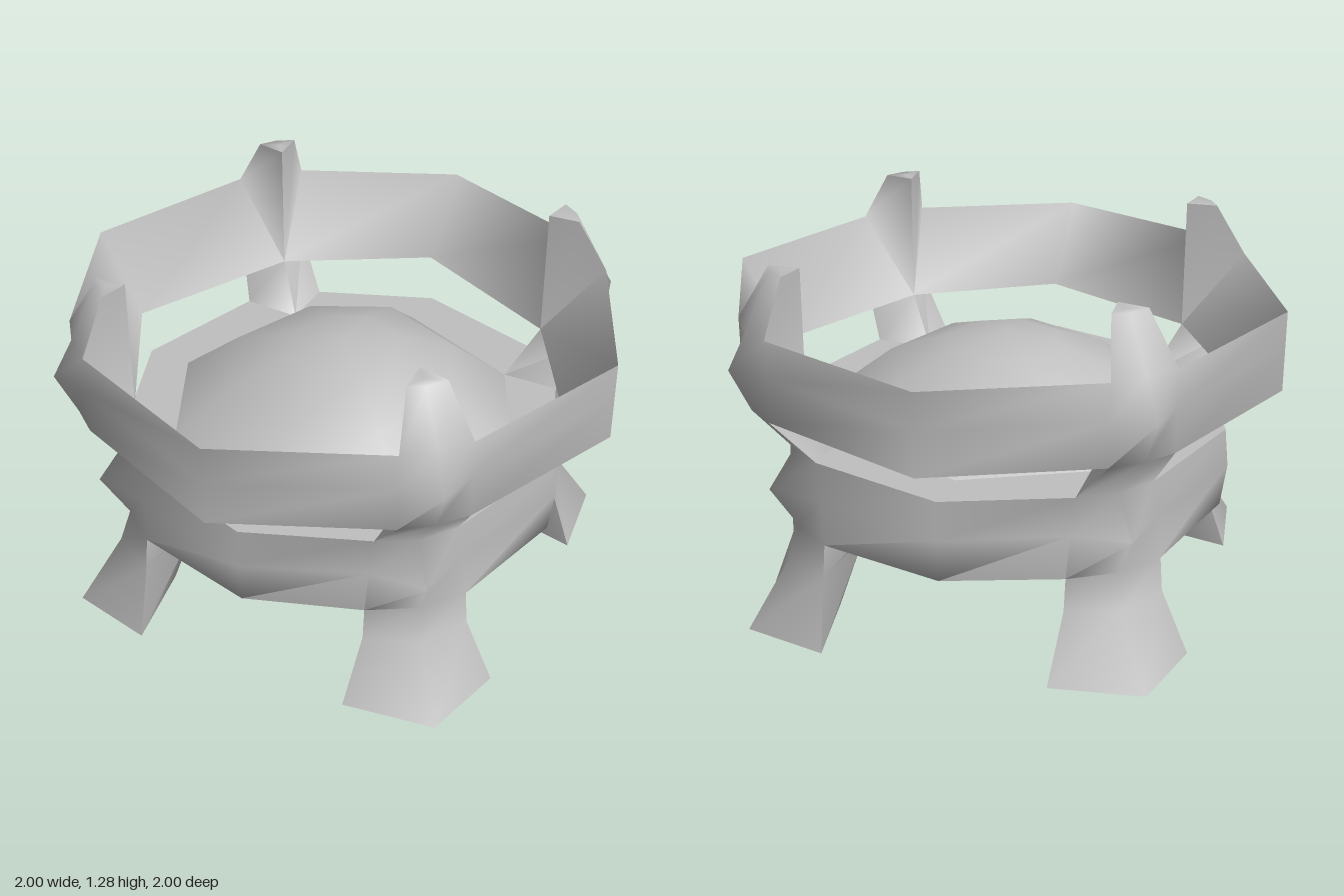
import * as THREE from 'three';
import { toCreasedNormals } from 'three/addons/utils/BufferGeometryUtils.js';

// Exact quarter turn about the y axis.
const quarterTurn = (pts) => pts.map(([x, y, z]) => [z, y, -x]);

// Repeats one quarter of a loop four times around the y axis.
function around(quarter) {
  const loop = [];
  for (let q = 0, pts = quarter; q < 4; q++, pts = quarterTurn(pts)) loop.push(...pts);
  return loop;
}

// Joins closed loops of equal length into triangles, leaving out collapsed ones.
// With openAtPosts, the two segments under each post are left open.
function skin(loops, openAtPosts = false) {
  const pos = [];
  const a = new THREE.Vector3(), b = new THREE.Vector3(), c = new THREE.Vector3();
  const tri = (p, q, r) => {
    a.fromArray(p);
    b.fromArray(q).sub(a);
    c.fromArray(r).sub(a);
    if (b.cross(c).length() > 1e-6) pos.push(...p, ...q, ...r);
  };
  for (let k = 0; k + 1 < loops.length; k++) {
    const lo = loops[k], hi = loops[k + 1], n = lo.length;
    for (let i = 0; i < n; i++) {
      if (openAtPosts && i % 4 < 2) continue;
      const j = (i + 1) % n;
      tri(lo[i], lo[j], hi[j]);
      tri(lo[i], hi[j], hi[i]);
    }
  }
  return pos;
}

// The same small skin at all four posts.
function fourTimes(loops) {
  const pos = [];
  for (let q = 0, turned = loops; q < 4; q++, turned = turned.map(quarterTurn)) pos.push(...skin(turned));
  return pos;
}

// Smooth geometry that keeps edges sharper than the crease angle.
function smooth(pos, crease) {
  const geo = new THREE.BufferGeometry();
  geo.setAttribute('position', new THREE.Float32BufferAttribute(pos, 3));
  return toCreasedNormals(geo, crease);
}

// One level of a section: [x, z] pairs at height y.
const level = (y, pairs) => pairs.map(([x, z]) => [x, y, z]);

export function createModel() {
  const group = new THREE.Group();
  const metal = new THREE.MeshStandardMaterial({ color: 0xc0c0c0, side: THREE.DoubleSide });
  metal.name = 'greyMetal';

  const add = (name, geo) => {
    const mesh = new THREE.Mesh(geo, metal);
    mesh.name = name;
    group.add(mesh);
  };

  // Sections where the parts meet: left, outer ridge, right of a post
  const legTop = [[-0.07, 0.77], [0.11, 0.79], [0.28, 0.745]];
  const postFoot = [[-0.04, 0.77], [0.1, 0.79], [0.24, 0.75]];
  const postHead = [[0, 0.93], [0.12, 0.93], [0.24, 0.9]];
  const legInner = [0.07, 0.45], footInner = [0.08, 0.61], headInner = [0.1, 0.74];
  const inner = (y, p, corner) => around(level(y, [p, p, p, corner]));

  // Upper ring, wedge-shaped in section
  const upper = (y, pairs) => around(level(y, [...pairs, [0.79, 0.58]]));
  const ringBottom = upper(0.82, postHead), ringTop = upper(1.105, postHead);
  const ringInner = inner(0.82, headInner, [0.67, 0.46]);
  const upperRing = [
    ...skin([ringInner, ringBottom], true),
    ...skin([ringBottom, upper(0.975, [[0, 0.93], [0.13, 1.0], [0.24, 0.9]]), ringTop]),
    ...skin([ringTop, ringInner], true),
  ];

  // Lower bowl: underside and bulging wall
  const bowlBottom = around(level(0.36, [...legTop, [0.64, 0.46]]));
  const bowlTop = around(level(0.65, [...postFoot, [0.645, 0.465]]));
  const underInner = inner(0.36, legInner, [0.39, 0.27]);
  const bowlMiddle = around(level(0.515, [[-0.055, 0.77], [0.11, 0.885], [0.26, 0.745], [0.655, 0.475]]));
  const lowerBowl = [
    ...skin([inner(0.36, [0, 0], [0, 0]), underInner]),
    ...skin([underInner, bowlBottom], true),
    ...skin([bowlBottom, bowlMiddle, bowlTop]),
  ];

  // Posts between bowl and ring
  const posts = fourTimes([level(0.65, [...postFoot, footInner]), level(0.82, [...postHead, headInner])]);

  // Spikes above the ring, their inner edge running down its inside
  const spikeTop = level(1.285, [[0.04, 0.83], [0.1, 0.84], [0.17, 0.82], [0.1, 0.74]]);
  const spikes = fourTimes([
    [...level(1.105, postHead), [headInner[0], 0.82, headInner[1]]],
    spikeTop,
    spikeTop.map(() => [0.1, 1.285, 0.8]),
  ]);

  // Legs, hollow and open at the foot
  const legs = fourTimes([
    level(0, [[-0.155, 0.83], [0.13, 0.99], [0.37, 0.795], [0.07, 0.645]]),
    level(0.24, [[-0.075, 0.77], [0.11, 0.83], [0.285, 0.755], [0.08, 0.56]]),
    level(0.36, [...legTop, legInner]),
  ]);

  // The whole frame is one continuous smooth skin
  add('frame', smooth([...upperRing, ...lowerBowl, ...posts, ...spikes, ...legs], 1.5));

  // Flat lip of the bowl and the domed mound inside it
  const mound = (y, s) => inner(y, footInner.map((v) => v * s), [0.52 * s, 0.36 * s]);
  add('bowlLip', smooth(skin([bowlTop, mound(0.65, 1)], true), 0.5));
  add('mound', smooth(skin([mound(0.65, 1), mound(0.82, 0.66), mound(0.9, 0.32), mound(0.93, 0)]), 1));
  return group;
}
